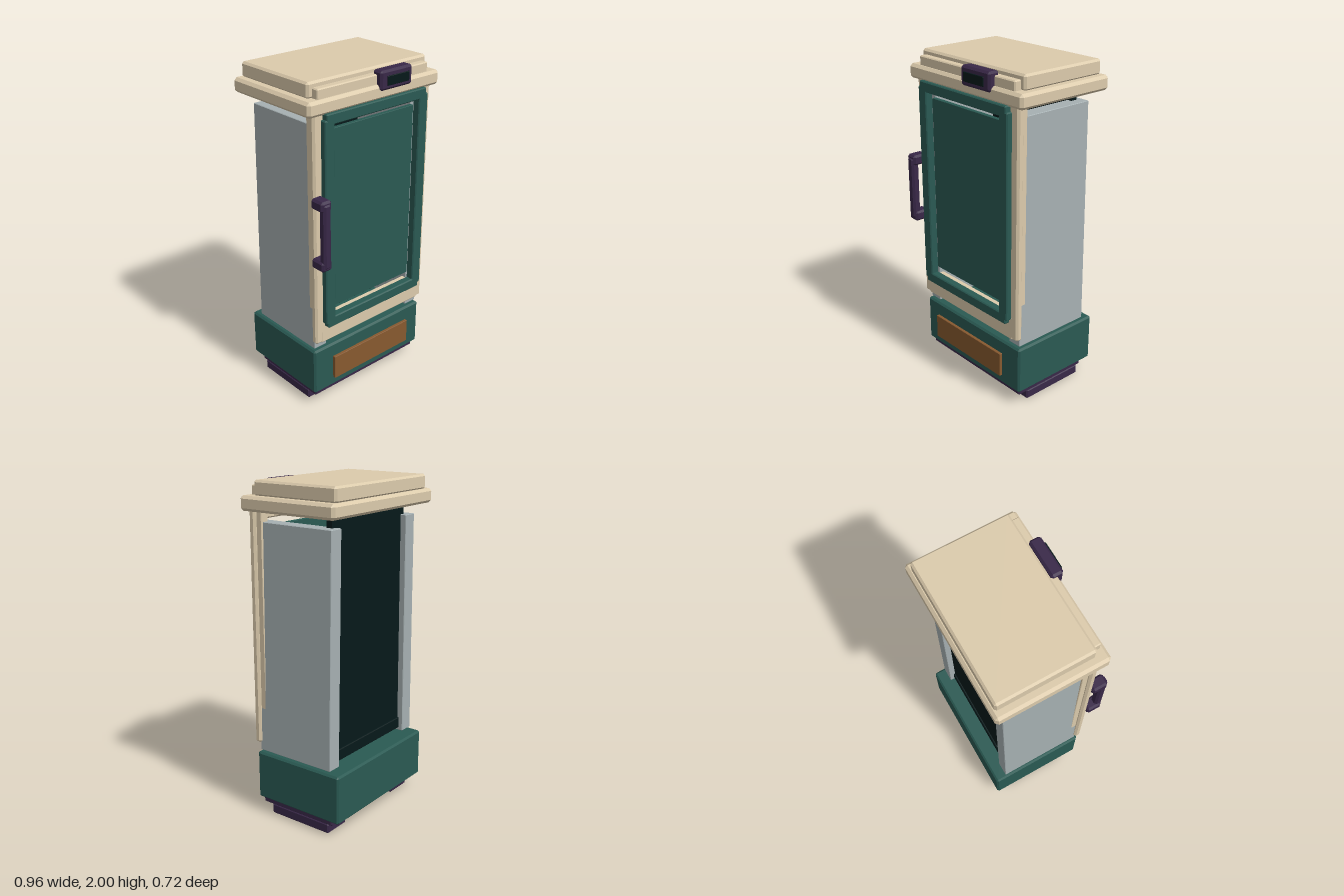
import * as THREE from 'three';
import { ConvexGeometry } from 'three/addons/geometries/ConvexGeometry.js';

const paint = (name, color) => {
  const m = new THREE.MeshStandardMaterial({ color });
  m.name = name;
  return m;
};

export function createModel() {
  const model = new THREE.Group();
  model.name = 'cabinet';
  const cream = paint('cream', 0xdccbac);
  const teal = paint('teal', 0x2a5a53);
  const grey = paint('grey', 0xa6b0b2);
  const plum = paint('plum', 0x392848);
  const dark = paint('dark', 0x06191a);
  const wood = paint('wood', 0x87592f);

  // Chamfered block between two limits on each axis; lean shifts the top along x
  function block(name, mat, [x0, x1], [y0, y1], [z0, z1], c = 0.008, lean = 0) {
    const w = (x1 - x0) / 2, h = (y1 - y0) / 2, d = (z1 - z0) / 2;
    const points = [];
    for (const sx of [-1, 1]) for (const sy of [-1, 1]) for (const sz of [-1, 1]) {
      for (const [a, b, e] of [[0, c, c], [c, 0, c], [c, c, 0]]) {
        const y = sy * (h - b);
        const shift = lean * (y + h) / (2 * h);
        points.push(new THREE.Vector3(sx * (w - a) + shift, y, sz * (d - e)));
      }
    }
    const mesh = new THREE.Mesh(new ConvexGeometry(points), mat);
    mesh.position.set((x0 + x1) / 2, (y0 + y1) / 2, (z0 + z1) / 2);
    mesh.name = name;
    model.add(mesh);
  }

  // Plinth, base and plaque
  block('plinth', plum, [-0.412, 0.412], [0.058, 0.105], [-0.295, 0.225]);
  block('base', teal, [-0.433, 0.433], [0.094, 0.392], [-0.357, 0.248], 0.011);
  block('plaque', wood, [-0.306, 0.303], [0.168, 0.32], [0.263, 0.283], 0.002);

  // Mirrored pairs: feet, leaning side walls, front posts, door stiles
  for (const s of [-1, 1]) {
    const span = (a, b) => (s > 0 ? [a, b] : [-b, -a]);
    block('foot', plum, span(0.24, 0.412), [0, 0.066], [-0.27, 0.16], 0.01);
    block('sideWall', grey, span(0.33, 0.419), [0.404, 1.77], [-0.287, 0.232], 0.003, -0.018 * s);
    block('frontPostBack', cream, span(0.36, 0.4155), [0.47, 1.845], [0.188, 0.245], 0.003);
    block('frontPost', cream, span(0.36, 0.433), [0.452, 1.845], [0.222, 0.267], 0.012);
    block('doorStile', teal, span(0.313, 0.382), [0.582, 1.805], [0.25, 0.301], 0.006);
  }

  // Front frame and recessed door
  block('frameBottom', cream, [-0.395, 0.395], [0.45, 0.6], [0.195, 0.268]);
  block('frameTop', cream, [-0.395, 0.395], [1.785, 1.845], [0.195, 0.26]);
  block('doorTopRail', teal, [-0.368, 0.368], [1.776, 1.838], [0.25, 0.301], 0.006);
  block('doorBottomRail', teal, [-0.368, 0.368], [0.557, 0.622], [0.25, 0.301], 0.006);
  block('doorPanel', teal, [-0.311, 0.311], [0.658, 1.737], [0.23, 0.256], 0.002);

  // Interior shelves
  for (const y of [0.64, 0.93, 1.22, 1.51]) {
    block('shelf', grey, [-0.318, 0.318], [y - 0.015, y + 0.015], [-0.21, 0.15], 0.003);
  }

  // Back
  block('backPanel', dark, [-0.345, 0.345], [0.42, 1.85], [-0.25, -0.208], 0.003);
  block('backSill', dark, [-0.335, 0.335], [0.42, 0.49], [-0.26, -0.2], 0.004);

  // Lid and stepped top
  block('lid', cream, [-0.48, 0.48], [1.832, 1.916], [-0.361, 0.29], 0.016);
  block('lidStep', cream, [-0.403, 0.403], [1.9, 1.97], [0.15, 0.267], 0.006);
  block('topCap', cream, [-0.434, 0.434], [1.912, 2], [-0.341, 0.225], 0.012);

  // Display
  block('displayHousing', plum, [0.01, 0.247], [1.882, 1.992], [0.232, 0.303], 0.012);
  block('displayScreen', dark, [0.047, 0.21], [1.91, 1.963], [0.307, 0.315], 0.002);

  // Handle
  for (const y of [0.968, 1.325]) {
    block('handleMount', plum, [-0.452, -0.38], [y, y + 0.062], [0.255, 0.352], 0.012);
  }
  block('handleBar', plum, [-0.442, -0.39], [0.985, 1.372], [0.31, 0.36], 0.012);

  return model;
}
